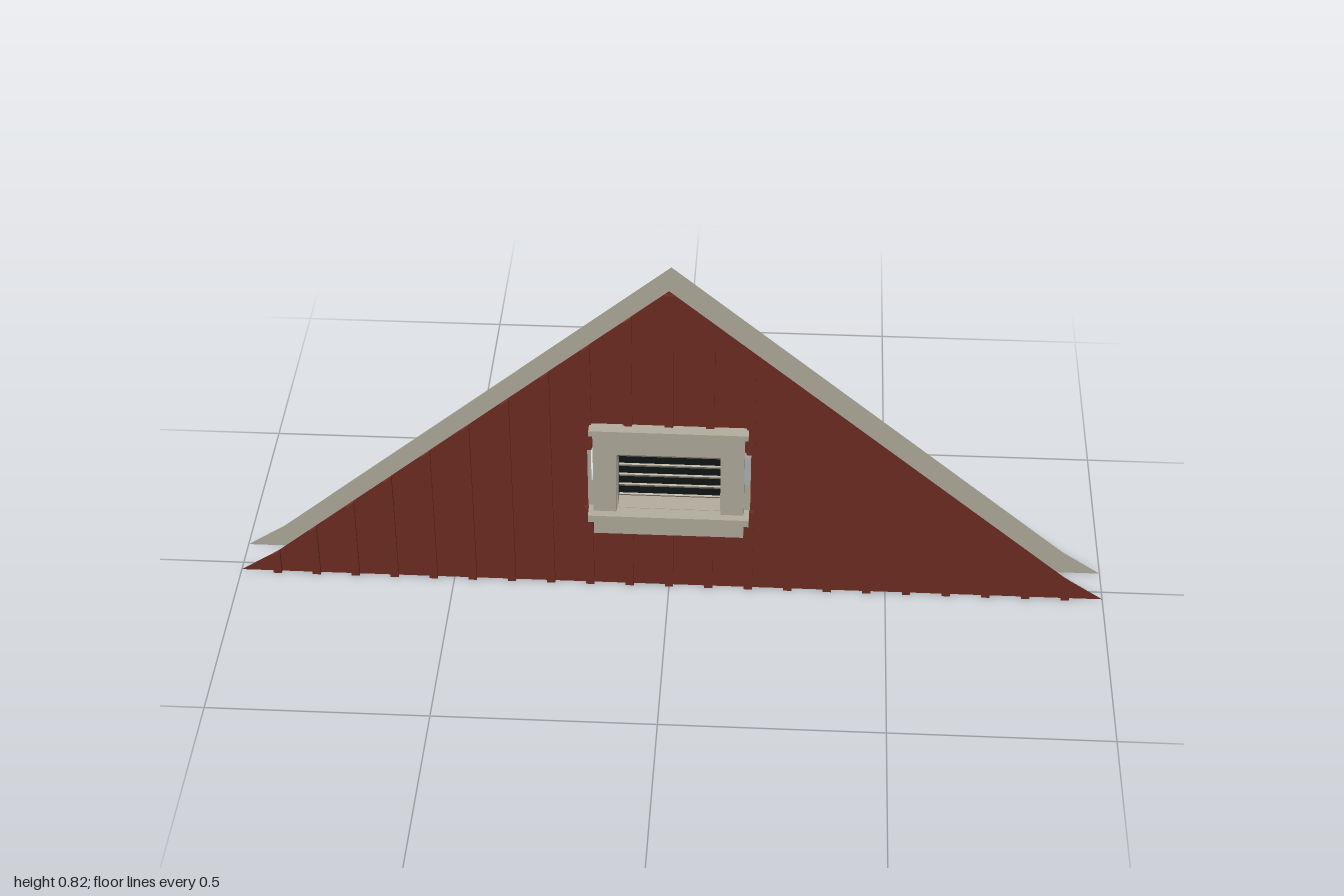
import * as THREE from 'three';

const APEX = 0.822, KNEE_X = 0.91, KNEE_Y = 0.06;
const HOLE_X = 0.184, HOLE_LOW = 0.227, HOLE_TOP = 0.392;
const FRONT_Z = 0.025, BACK_Z = -0.067;

// height of the flared roof line at x
function roof(x) {
  const a = Math.abs(x);
  return a > KNEE_X
    ? KNEE_Y * (1 - a) / (1 - KNEE_X)
    : APEX - (APEX - KNEE_Y) * a / KNEE_X;
}

const polygon = (points) => new THREE.Shape(points.map(([x, y]) => new THREE.Vector2(x, y)));

export function createModel() {
  const model = new THREE.Group();
  model.name = 'gableWall';

  const material = (name, color, side = THREE.FrontSide) => {
    const m = new THREE.MeshStandardMaterial({ color, side });
    m.name = name;
    return m;
  };
  const red = material('barnRed', 0x6f2d23, THREE.DoubleSide);
  const trim = material('warmGrey', 0xb3ac9d, THREE.DoubleSide);
  const dark = material('ventBlack', 0x101512);

  const add = (name, geometry, mat, parent = model) => {
    const mesh = new THREE.Mesh(geometry, mat);
    mesh.name = name;
    parent.add(mesh);
    return mesh;
  };
  // box given by its limits on each axis
  const block = (name, [x0, x1], [y0, y1], [z0, z1], mat, parent) => {
    const mesh = add(name, new THREE.BoxGeometry(x1 - x0, y1 - y0, z1 - z0), mat, parent);
    mesh.position.set((x0 + x1) / 2, (y0 + y1) / 2, (z0 + z1) / 2);
    return mesh;
  };
  const group = (name) => {
    const g = new THREE.Group();
    g.name = name;
    model.add(g);
    return g;
  };

  // two thin wall sheets with a vent opening
  const outline = polygon([[-1, 0], [1, 0], [KNEE_X, KNEE_Y], [0, APEX], [-KNEE_X, KNEE_Y]]);
  outline.holes.push(polygon([
    [-HOLE_X, HOLE_LOW], [-HOLE_X, HOLE_TOP], [HOLE_X, HOLE_TOP], [HOLE_X, HOLE_LOW],
  ]));
  add('outerWall', new THREE.ShapeGeometry(outline), red).position.z = FRONT_Z;
  add('innerWall', new THREE.ShapeGeometry(outline), trim).position.z = BACK_Z;

  // vertical battens, cut to the roof line and interrupted by the opening
  const battens = group('battens');
  const batten = (x, low, high) => {
    const l = x - 0.0095, r = x + 0.0095;
    const shape = polygon([
      [l, low], [r, low], [r, Math.min(high, roof(r))], [l, Math.min(high, roof(l))],
    ]);
    const geometry = new THREE.ExtrudeGeometry(shape, { depth: 0.009, bevelEnabled: false });
    add('batten', geometry, red, battens).position.z = FRONT_Z;
  };
  for (let i = -10; i <= 10; i++) {
    const x = i * 0.0914;
    if (Math.abs(x) < 0.19) {
      batten(x, 0, HOLE_LOW);
      batten(x, HOLE_TOP, 1);
    } else {
      batten(x, 0, 1);
    }
  }

  // vent casing
  const casing = group('ventCasing');
  const face = [0.027, 0.048];
  for (const s of [-1, 1]) {
    block('sideCasing', [s * 0.144 - 0.026, s * 0.144 + 0.026], [0.23, 0.392], face, trim, casing);
  }
  block('headCasing', [-0.17, 0.17], [0.392, 0.448], face, trim, casing);
  block('headCap', [-0.178, 0.178], [0.448, 0.462], [0.027, 0.057], trim, casing);
  block('sill', [-0.182, 0.182], [0.212, 0.23], [0.027, 0.067], trim, casing);
  block('apron', [-0.17, 0.17], [0.165, 0.212], face, trim, casing);

  // open box behind the casing
  const box = group('ventBox');
  const depth = [-0.011, 0.034];
  for (const s of [-1, 1]) {
    block('boxSide', [s * 0.117 - 0.001, s * 0.117 + 0.001], [0.229, 0.392], depth, trim, box);
  }
  block('boxTop', [-0.116, 0.116], [0.39, 0.392], depth, trim, box);
  block('boxBottom', [-0.116, 0.116], [0.229, 0.231], depth, trim, box);

  // back panel: dark towards the front, grey towards the rear
  const panel = new THREE.PlaneGeometry(0.236, 0.163);
  add('ventBacking', panel, dark, box).position.set(0, 0.3105, -0.0205);
  const rear = add('ventRearPanel', panel, trim, box);
  rear.position.set(0, 0.3105, -0.0215);
  rear.rotation.y = Math.PI;

  // louver slats, tilted up towards the front
  const louvers = group('louvers');
  for (let i = 0; i < 5; i++) {
    const slat = add('slat', new THREE.BoxGeometry(0.23, 0.004, 0.029), trim, louvers);
    slat.position.set(0, 0.2355 + i * 0.0284, -0.0095);
    slat.rotation.x = -Math.PI / 4;
  }

  return model;
}
